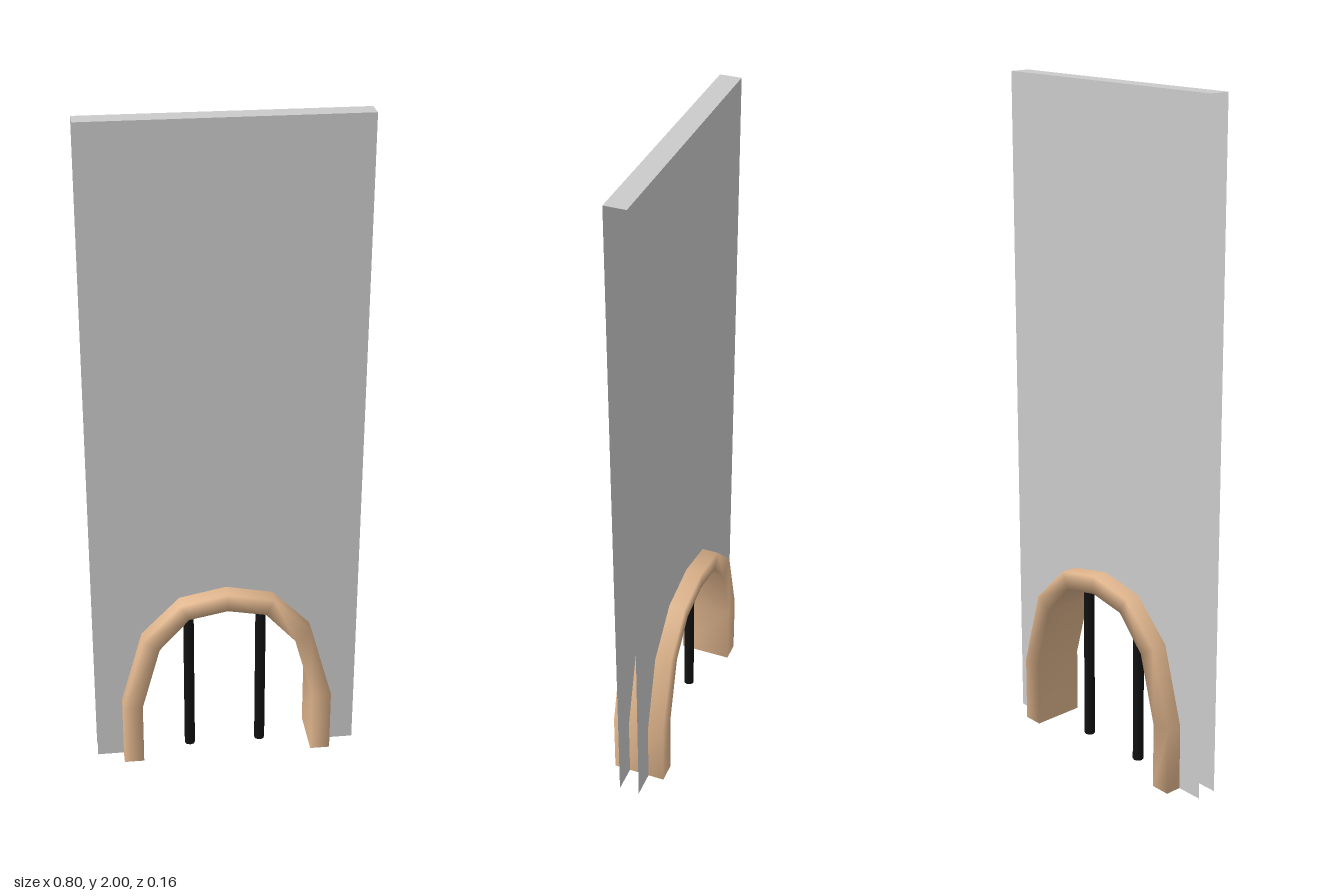
import * as THREE from 'three';

// Half outlines of the arch, from foot to crown
const OUTER = [[0.32, 0], [0.32, 0.2], [0.255, 0.435], [0.14, 0.552], [0, 0.58]];
const INNER = [[0.26, 0], [0.26, 0.2], [0.205, 0.403], [0.115, 0.503], [0, 0.525]];
const mirrored = (half) => [...half, ...half.slice(0, -1).reverse().map(([x, y]) => [-x, y])];

function mesh(name, geometry, color) {
  const material = new THREE.MeshStandardMaterial({ color, side: THREE.DoubleSide });
  const m = new THREE.Mesh(geometry, material);
  m.name = name;
  return m;
}

// Rectangular section swept along the arch, open at the feet, softly shaded
function archGeometry(depth) {
  const outer = mirrored(OUTER), inner = mirrored(INNER);
  const positions = [], index = [];
  outer.forEach(([ox, oy], i) => {
    const [ix, iy] = inner[i];
    positions.push(ox, oy, depth, ox, oy, -depth, ix, iy, -depth, ix, iy, depth);
    if (i === 0) return;
    for (let k = 0; k < 4; k++) {
      const a = (i - 1) * 4 + k, b = (i - 1) * 4 + (k + 1) % 4;
      index.push(a, b, b + 4, a, b + 4, a + 4);
    }
  });
  const g = new THREE.BufferGeometry();
  g.setAttribute('position', new THREE.Float32BufferAttribute(positions, 3));
  g.setIndex(index);
  g.computeVertexNormals();
  return g;
}

export function createModel() {
  const group = new THREE.Group();

  // Wall sheet outline with the arched doorway cut out, hidden inside the arch trim
  const opening = mirrored(OUTER.map(([x, y], i) => [(x + INNER[i][0]) / 2, (y + INNER[i][1]) / 2]));
  const outline = [[-0.4, 0], [-0.4, 2], [0.4, 2], [0.4, 0], ...opening];
  const sheet = new THREE.Shape(outline.map(([x, y]) => new THREE.Vector2(x, y)));

  // Hollow wall: front and back sheets and a top strip, ends left open
  const front = mesh('wallFront', new THREE.ShapeGeometry(sheet), 0xcccccc);
  front.position.z = 0.031;
  const back = mesh('wallBack', new THREE.ShapeGeometry(sheet).rotateY(Math.PI), 0xcccccc);
  back.position.z = -0.031;
  const top = mesh('wallTop', new THREE.PlaneGeometry(0.8, 0.062).rotateX(-Math.PI / 2), 0xcccccc);
  top.position.y = 2;
  group.add(front, back, top);

  // Arch trim around the doorway
  group.add(mesh('archTrim', archGeometry(0.08), 0xdeb48c));

  // Two upright bars in the doorway
  for (const side of [-1, 1]) {
    const bar = mesh(side > 0 ? 'leftBar' : 'rightBar', new THREE.CylinderGeometry(0.016, 0.016, 0.515, 8), 0x111111);
    bar.position.set(side * 0.11, 0.2575, 0);
    group.add(bar);
  }
  return group;
}
